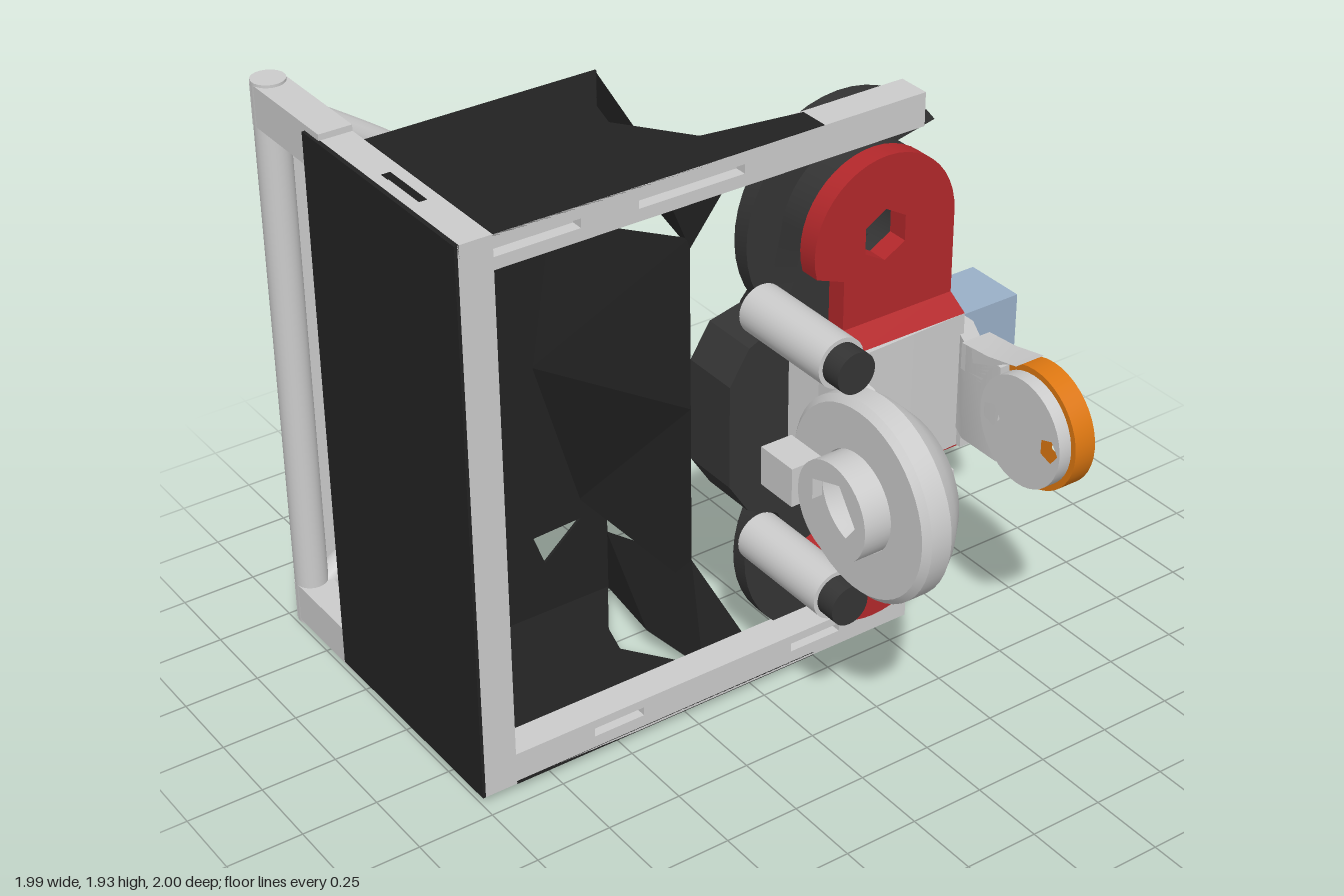
import * as THREE from 'three';
import { toCreasedNormals } from 'three/addons/utils/BufferGeometryUtils.js';

const MID = 0.965; // height of the horizontal mirror plane
const paint = (color, side = THREE.FrontSide) => new THREE.MeshStandardMaterial({ color, side });

export function createModel() {
  const root = new THREE.Group();
  const grey = paint(0xcccccc), greyThin = paint(0xcccccc, THREE.DoubleSide);
  const black = paint(0x222222, THREE.DoubleSide), charcoal = paint(0x343434);
  const red = paint(0xb3282b), orange = paint(0xdd7711), blue = paint(0x9ab0c8);

  const add = (name, geo, mat) => {
    const m = new THREE.Mesh(geo, mat);
    m.name = name;
    root.add(m);
    return m;
  };
  const box = (name, mat, x0, x1, y0, y1, z0, z1) => add(name,
    new THREE.BoxGeometry(x1 - x0, y1 - y0, z1 - z0).translate((x0 + x1) / 2, (y0 + y1) / 2, (z0 + z1) / 2), mat);

  // Outline helpers
  const ring = (a, b, r, n, turn = 0) => Array.from({ length: n }, (_, i) => {
    const t = turn + i / n * Math.PI * 2;
    return [a + r * Math.cos(t), b + r * Math.sin(t)];
  });
  const arc = (a, b, r, from, to, n = 24) => Array.from({ length: n + 1 }, (_, i) => {
    const t = THREE.MathUtils.degToRad(from + (to - from) * i / n);
    return [a + r * Math.cos(t), b + r * Math.sin(t)];
  });
  const rect = (a0, a1, b0, b1) => [[a0, b0], [a1, b0], [a1, b1], [a0, b1]];

  // Plate with holes: outline in (x,y), (z,y) or (x,z), thickness along the remaining axis
  const plate = (name, mat, axis, from, to, pts, holes = []) => {
    const v = p => p.map(([a, b]) => new THREE.Vector2(axis === 'x' ? -a : a, axis === 'y' ? -b : b));
    const shape = new THREE.Shape(v(pts));
    shape.holes = holes.map(h => new THREE.Path(v(h)));
    const geo = new THREE.ExtrudeGeometry(shape, { depth: to - from, bevelEnabled: false }).translate(0, 0, from);
    if (axis === 'x') geo.rotateY(Math.PI / 2);
    if (axis === 'y') geo.rotateX(-Math.PI / 2);
    return add(name, toCreasedNormals(geo, 0.5), mat);
  };
  const rod = (name, mat, x, y, z0, z1, r) => add(name,
    new THREE.CylinderGeometry(r, r, z1 - z0, 32).rotateX(Math.PI / 2).translate(x, y, (z0 + z1) / 2), mat);
  // Triangles from a short list of corners
  const sheet = (name, corners, faces) => {
    const g = new THREE.BufferGeometry();
    g.setAttribute('position', new THREE.Float32BufferAttribute(faces.flat().flatMap(i => corners[i]), 3));
    g.computeVertexNormals();
    add(name, g, black);
  };

  // Frame: front post and slotted beams with a core behind the slots
  box('frontPost', grey, -0.99, -0.88, 0.14, 1.79, 0.09, 0.2);
  plate('topBeam', grey, 'z', 0.09, 0.2, rect(-0.99, 0.6, 1.79, 1.9),
    [rect(-0.88, -0.6, 1.83, 1.86), rect(-0.41, -0.05, 1.83, 1.86)]);
  plate('bottomBeam', grey, 'z', 0.09, 0.2, rect(-0.99, 0.6, 0.03, 0.14),
    [rect(-0.6, -0.42, 0.08, 0.11), rect(0.14, 0.33, 0.08, 0.11)]);
  for (const y of [0.03, 1.79]) {
    plate('sideBeam', grey, 'y', y, y + 0.11, rect(-0.99, -0.88, -0.9, 0.09), [rect(-0.95, -0.92, -0.27, -0.07)]);
    box('beamCore', grey, -0.9, 0.4, y + 0.02, y + 0.09, 0.13, 0.16);
    box('sideBeamCore', grey, -0.96, -0.91, y + 0.04, y + 0.07, -0.3, 0);
  }
  // Rounded beam ends
  const socket = (name, x, y0, y1, zEnd) => plate(name, grey, 'y', y0, y1,
    [[x - 0.055, zEnd], [x + 0.055, zEnd], [x + 0.055, -0.96], [x + 0.035, -0.995], [x - 0.035, -0.995], [x - 0.055, -0.96]]);
  socket('topSocket', -0.935, 1.785, 1.92, -0.55);
  socket('bottomSocket', -0.935, 0.01, 0.145, -0.55);

  // Middle arm carrying the handle
  plate('middleArm', grey, 'x', -0.1, 0.01, rect(-0.68, 0, 0.91, 1.02), [rect(-0.45, -0.33, 0.95, 0.98)]);
  box('middleArmCore', grey, -0.06, -0.03, 0.94, 0.99, -0.47, -0.31);
  socket('armSocket', -0.045, 0.89, 1.045, -0.67);
  add('handleCrossbar', new THREE.CylinderGeometry(0.05, 0.05, 0.36, 24).rotateZ(Math.PI / 2)
    .translate(-0.23, MID, -0.945), grey);

  // Rear handle: upright, bent tube and a panel flush with its back
  add('rearUpright', new THREE.CylinderGeometry(0.054, 0.054, 1.928, 24).translate(-0.937, MID, -0.943), grey);
  const bend = [[-0.94, 1.86], [-0.88, 1.81], [-0.56, 1.59], [-0.46, 1.5], [-0.43, 1.38],
    [-0.43, 0.55], [-0.46, 0.43], [-0.56, 0.34], [-0.88, 0.12], [-0.94, 0.07]];
  const path = new THREE.CatmullRomCurve3(bend.map(([x, y]) => new THREE.Vector3(x, y, -0.945)));
  add('handleTube', new THREE.TubeGeometry(path, 80, 0.05, 16), greyThin);
  plate('handlePanel', grey, 'z', -0.99, -0.965, bend);

  // Hopper: outer panel, top and bottom plates, back wall and folded throat
  box('outerPanel', black, -1, -0.985, 0.03, 1.9, -0.63, 0.2);
  box('innerPanel', black, -0.89, -0.875, 0.14, 1.79, -0.48, 0.1);
  const lid = [[-0.88, 0.2], [0.23, 0.2], [0.23, 0.1], [-0.1, 0.05], [-0.26, -0.17], [-0.23, -0.28], [-0.1, -0.48], [-0.88, -0.48]];
  plate('hopperTop', black, 'y', 1.89, 1.902, lid);
  plate('hopperBottom', black, 'y', 0.028, 0.04, lid);
  plate('hopperBack', black, 'z', -0.485, -0.475,
    [[-0.88, 0.03], [-0.1, 0.03], [-0.1, 0.35], [-0.2, 0.42], [-0.36, MID], [-0.28, 1.46], [-0.2, 1.53], [-0.1, 1.55], [-0.1, 1.9], [-0.88, 1.9]],
    [[[-0.34, 0.23], [-0.2, 0.35], [-0.38, 0.34]]]);
  sheet('throatWall', [[-0.28, 1.46, -0.48], [-0.1, 1.55, 0], [-0.36, MID, -0.48], [-0.1, MID, 0], [-0.2, 0.42, -0.48], [-0.1, 0.32, 0]],
    [[0, 2, 1], [1, 2, 3], [2, 4, 3], [3, 4, 5]]);
  for (const s of [-1, 1]) {
    const h = d => MID + s * d;
    sheet('throatFlap', [[-0.1, h(0.93), -0.48], [-0.1, h(0.71), -0.48], [-0.17, h(0.88), -0.15], [-0.1, h(0.55), 0],
      [0.06, h(0.88), 0.08], [-0.1, h(0.93), 0.06]], [[0, 1, 2], [1, 3, 2], [3, 4, 5], [2, 3, 5]]);
  }

  // Intake housing: two discs joined by a waist, with a raised back
  const flip = pts => pts.map(([x, y]) => [x, 2 * MID - y]);
  const upper = [...arc(0.41, 1.52, 0.255, 0, 175), [0.13, 1.42], [0.08, 1.3], [-0.03, 1.25], [-0.1, 1.14]];
  plate('intakeHousing', charcoal, 'z', 0.08, 0.2, [...upper, ...flip(upper).reverse()],
    [ring(0.41, 1.52, 0.13, 32), ring(0.41, 0.41, 0.13, 32)]);
  plate('housingBack', charcoal, 'x', 0.08, 0.663, [[0.09, 1.42], [0, 1.28], [0, 0.65], [0.09, 0.51]]);
  plate('housingNeck', charcoal, 'z', 0, 0.085, [[0.1, 1.28], [-0.03, 1.25], [-0.1, 1.14], [-0.1, 0.79], [-0.03, 0.68], [0.1, 0.65]]);

  for (const s of [-1, 1]) {
    const h = d => MID + s * d, cy = h(0.555);
    const turn = pts => (s > 0 ? pts : flip(pts));
    // Curved guard behind each disc
    plate('discGuard', charcoal, 'z', 0.04, 0.1,
      turn([...arc(0.41, 1.52, 0.38, 35, 230), ...arc(0.41, 1.52, 0.24, 230, 50)]));
    plate('discRim', charcoal, 'z', 0.02, 0.09, ring(0.41, cy, 0.24, 40), [ring(0.41, cy, 0.15, 40)]);
    // Red cover with a hexagonal bore and a thick inner end
    plate('redCover', red, 'z', 0.2, 0.27,
      turn([...arc(0.41, 1.52, 0.26, 0, 196), [0.26, 1.41], [0.26, 1.1], [0.67, 1.1]]),
      [ring(0.41, cy, 0.085, 6, Math.PI / 2)]);
    plate('redWedge', red, 'x', 0.26, 0.67, [[0.26, h(0.285)], [0.34, h(0.235)], [0.34, h(0.1)], [0.26, h(0.1)]]);
    // Side motors
    rod('motor', grey, 0.02, h(0.4), 0.19, 0.57, 0.08);
    rod('motorTip', charcoal, 0.02, h(0.4), 0.57, 0.64, 0.066);
  }

  // Central bracket with one arm to each wheel
  plate('bracket', grey, 'y', 0.735, 1.2,
    [[0.2, 0.19], [0.67, 0.19], [0.67, 0.34], [0.2, 0.36], [0.12, 0.34], [0.1, 0.22]]);
  box('bracketFoot', grey, 0.31, 0.52, 0.69, 0.78, 0.3, 0.5);
  plate('wheelArm', grey, 'x', 0.12, 0.2,
    [[0.2, 0.76], [0.2, 1.18], [0.36, 1.2], [0.5, 1.18], [0.62, 1.1], [0.62, 0.83], [0.5, 0.69], [0.36, 0.69]]);
  // Cranked arm reaching the orange disc
  plate('capArm', grey, 'y', 0.8, 1.13, [[0.66, 0.2], [0.74, 0.21], [0.74, 0.3], [0.7, 0.38], [0.7, 0.56], [0.63, 0.56], [0.63, 0.4], [0.66, 0.33]]);
  plate('capArmFoot', grey, 'x', 0.66, 0.735, [[0.2, 0.735], [0.2, 0.82], [0.36, 0.82], [0.36, 0.735]]);

  // Large tapered wheel and its open hub, axis along x
  const rim = [[0.16, 0], [0.3, 0], [0.32, 0.02], [0.32, 0.09], [0.29, 0.13], [0.22, 0.2], [0.2, 0.21], [0.17, 0.21], [0.16, 0.18], [0.16, 0]];
  const wheel = new THREE.LatheGeometry(rim.map(([r, x]) => new THREE.Vector2(r, x)), 48);
  add('wheel', toCreasedNormals(wheel.rotateZ(-Math.PI / 2).translate(0, MID, 0.68), 0.5), greyThin);
  plate('wheelHub', grey, 'x', -0.09, 0.17, ring(0.68, MID, 0.157, 40), [ring(0.68, MID, 0.11, 5)]);
  box('hubLug', grey, -0.11, 0, 0.9, 1.03, 0.37, 0.52);

  // Orange disc with two bores, a grey backing and a rear shroud
  const bores = [ring(0.8, MID, 0.04, 5), ring(0.54, MID, 0.04, 5)];
  plate('orangeDisc', orange, 'x', 0.665, 0.74, ring(0.67, MID, 0.2, 40), bores);
  plate('discBacking', grey, 'x', 0.62, 0.665, ring(0.67, MID, 0.18, 40), bores);
  plate('discShroud', grey, 'x', 0.63, 0.738,
    [...arc(0.67, MID, 0.207, 102, 160), [0.38, 1.04], [0.38, 1.13], [0.5, 1.14]]);

  // Blue block on the outer side
  box('blueBlock', blue, 0.66, 0.99, 0.83, 1.1, 0, 0.215);
  return root;
}
